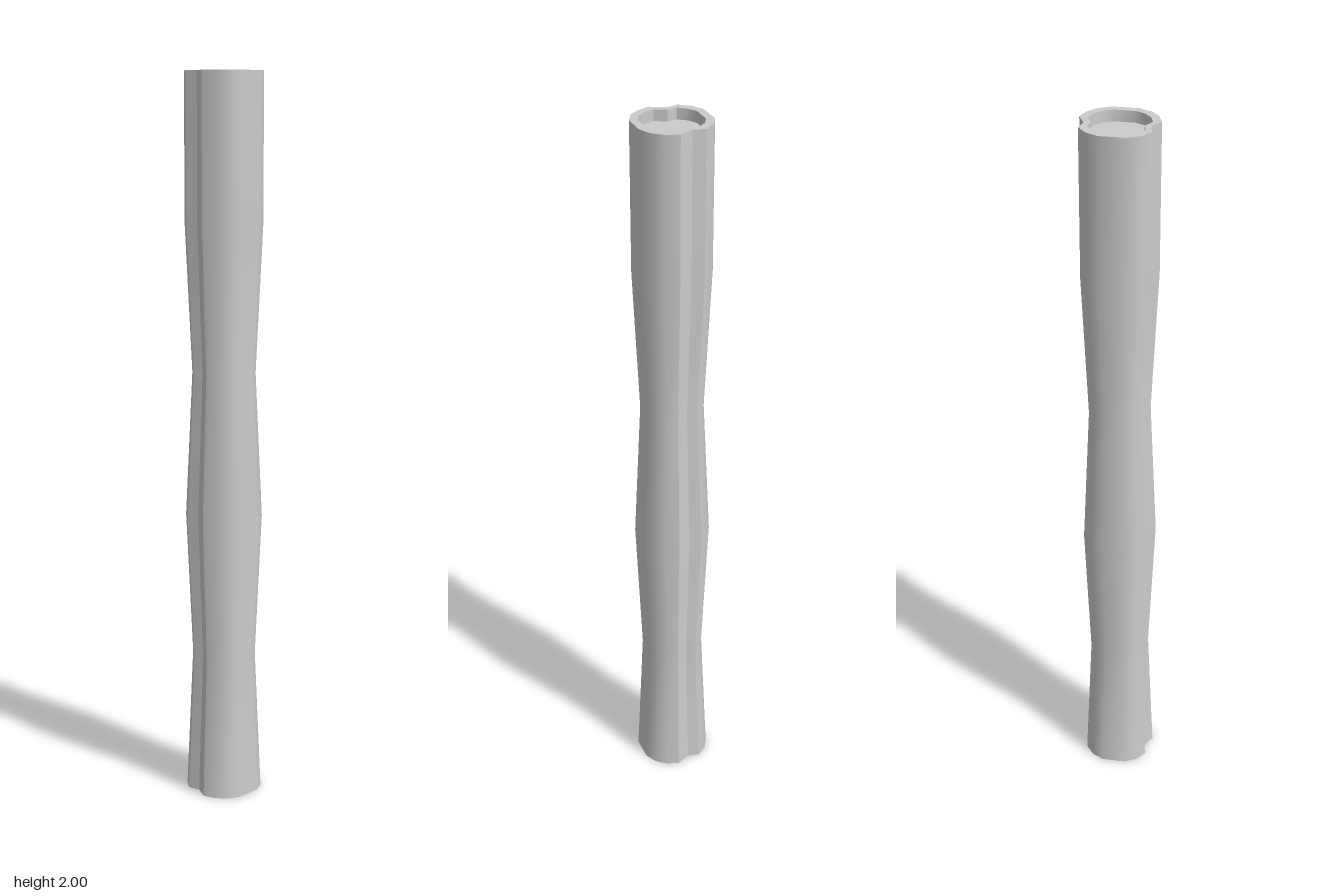
import * as THREE from 'three';
import { toCreasedNormals } from 'three/addons/utils/BufferGeometryUtils.js';

// Fluted cross-section [x, z], clockwise seen from above
const SECTION = [
  [0.018, -0.102], [0.053, -0.091], [0.081, -0.067], [0.097, -0.034], [0.097, 0.033],
  [0.081, 0.066], [0.053, 0.089], [0.018, 0.101], [-0.02, 0.081], [-0.053, 0.089],
  [-0.083, 0.066], [-0.1, 0.033], [-0.1, -0.034], [-0.083, -0.067], [-0.053, -0.091], [-0.02, -0.084],
];

// Skins a list of [scale, y] rings; a scale of 0 closes the end
function loft(rings) {
  const n = SECTION.length;
  const point = ([s, y], i) => [SECTION[i % n][0] * s, y, SECTION[i % n][1] * s];
  const pos = [];
  for (let r = 0; r < rings.length - 1; r++) {
    const [lo, hi] = [rings[r], rings[r + 1]];
    for (let i = 0; i < n; i++) {
      const a = point(lo, i), b = point(lo, i + 1), c = point(hi, i), d = point(hi, i + 1);
      if (lo[0] > 0) pos.push(...a, ...c, ...b);
      if (hi[0] > 0) pos.push(...b, ...c, ...d);
    }
  }
  const geometry = new THREE.BufferGeometry();
  geometry.setAttribute('position', new THREE.Float32BufferAttribute(pos, 3));
  return toCreasedNormals(geometry, Math.PI / 6);
}

export function createModel() {
  const group = new THREE.Group();
  group.name = 'handle';
  const material = new THREE.MeshStandardMaterial({ color: 0xcccccc });
  const add = (name, rings) => {
    const mesh = new THREE.Mesh(loft(rings), material);
    mesh.name = name;
    group.add(mesh);
  };

  // Grip with two waists and a flat base
  add('grip', [[0, 0], [1, 0], [0.83, 0.4], [1, 0.8], [0.82, 1.2], [1, 1.6], [1, 2]]);
  // Rim around a shallow recess in the top
  add('recessedTop', [[1, 2], [0.79, 2], [0.79, 1.97], [0, 1.97]]);
  return group;
}
